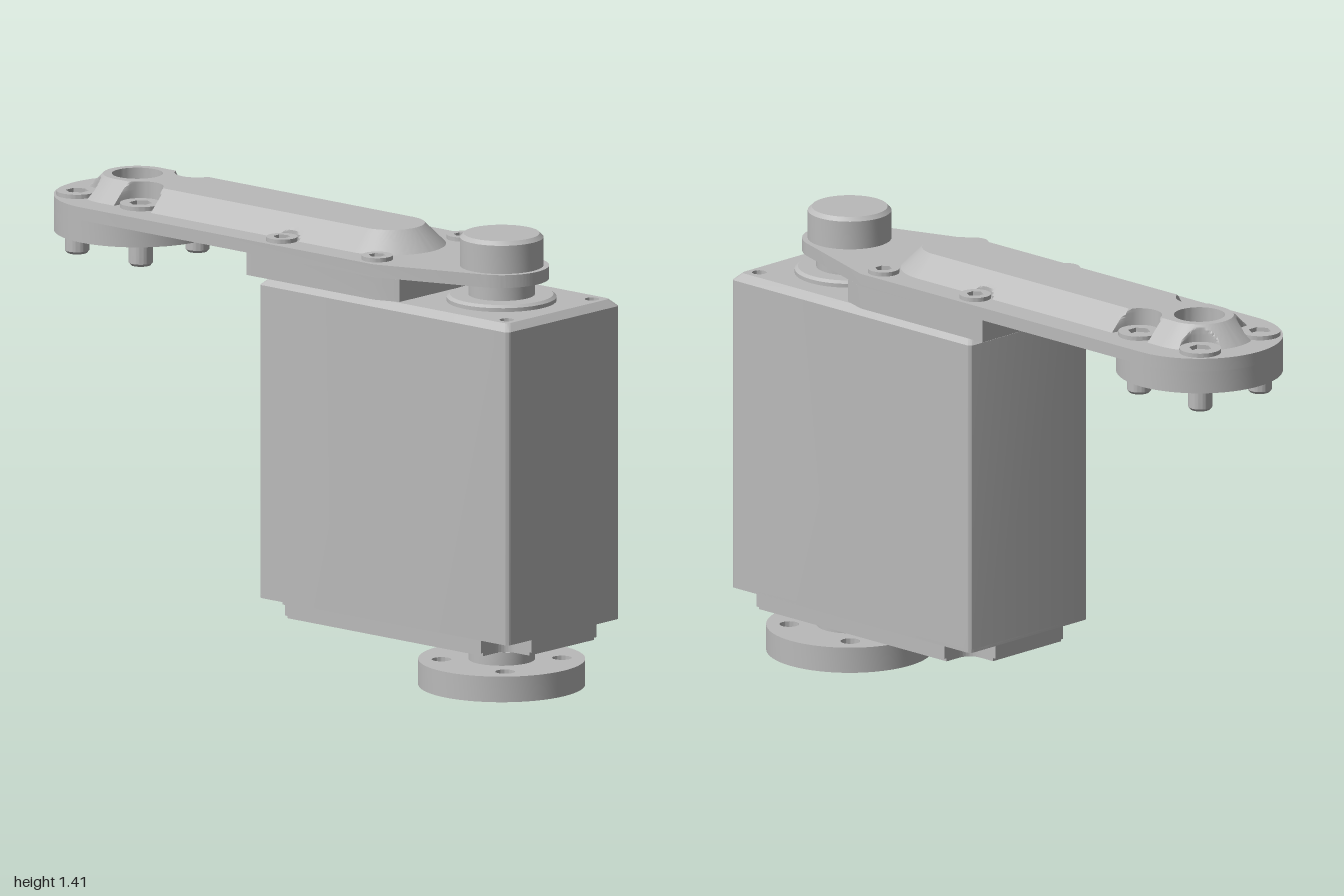
import * as THREE from 'three';
import { toCreasedNormals } from 'three/addons/utils/BufferGeometryUtils.js';

const grey = new THREE.MeshStandardMaterial({ color: 0xbababa, side: THREE.DoubleSide });
grey.name = 'plain grey';

const AXIS = 0.745; // distance of the shaft (front) and arm tip (back) from the centre
const BORE = 0.078;

export function createModel() {
  const model = new THREE.Group();
  model.name = 'servoWithArm';

  const add = (name, geometry, x = 0, y = 0, z = 0, parent = model) => {
    const mesh = new THREE.Mesh(geometry, grey);
    mesh.name = name;
    mesh.position.set(x, y, z);
    parent.add(mesh);
    return mesh;
  };

  const circle = (x, z, r) => new THREE.Path().absarc(x, z, r, 0, Math.PI * 2);
  const disc = (x, z, r) => new THREE.Shape().absarc(x, z, r, 0, Math.PI * 2);
  const hexagon = (r) => new THREE.Path(Array.from({ length: 6 }, (_, i) =>
    new THREE.Vector2(Math.cos(i * Math.PI / 3) * r, Math.sin(i * Math.PI / 3) * r)));

  // Plan outline (x, z) extruded downwards from a top height
  const slab = (shape, top, depth, holes = []) => {
    shape.holes.push(...holes);
    const g = new THREE.ExtrudeGeometry(shape, { depth, bevelEnabled: false, curveSegments: 32 });
    return toCreasedNormals(g.rotateX(Math.PI / 2).translate(0, top, 0), 0.5);
  };

  // Turned part around the y axis from [radius, height] pairs
  const turned = (points) => toCreasedNormals(
    new THREE.LatheGeometry(points.map(([r, y]) => new THREE.Vector2(r, y)), 48), 0.5);

  // Walls between stacked plan outlines, given as [height, points]
  const loft = (levels) => {
    const pos = [], index = [], n = levels[0][1].length;
    for (const [y, pts] of levels) for (const p of pts) pos.push(p.x, y, p.y);
    for (let k = 0; k < levels.length - 1; k++) {
      for (let i = 0; i < n; i++) {
        const a = k * n + i, b = k * n + (i + 1) % n;
        index.push(a, a + n, b, b, a + n, b + n);
      }
    }
    const g = new THREE.BufferGeometry();
    g.setAttribute('position', new THREE.Float32BufferAttribute(pos, 3));
    g.setIndex(index);
    return toCreasedNormals(g, 0.5);
  };

  // ---- Case ----
  const casePlan = (inset) => {
    const w = 0.258 - inset, f = 1 - inset, b = -0.02 + inset, r = 0.016;
    const s = new THREE.Shape();
    s.absarc(w - r, f - r, r, 0, Math.PI / 2);
    s.absarc(-w + r, f - r, r, Math.PI / 2, Math.PI);
    s.absarc(-w + r, b + r, r, Math.PI, Math.PI * 1.5);
    s.absarc(w - r, b + r, r, Math.PI * 1.5, Math.PI * 2);
    return s;
  };
  add('caseWalls', loft([[0.2, casePlan(0).getPoints(6)], [1.178, casePlan(0).getPoints(6)],
    [1.2, casePlan(0.022).getPoints(6)]]));

  const corners = [[0.195, 0.94], [-0.195, 0.94], [0.195, 0.04], [-0.195, 0.04]];
  const cornerHoles = () => corners.map(([x, z]) => circle(x, z, 0.022));
  add('caseTop', slab(casePlan(0.022), 1.2, 0.01, cornerHoles()));
  add('caseUnderside', slab(casePlan(0), 0.21, 0.01, cornerHoles()));
  for (const [x, z] of corners) {
    add('topScrewHole', turned([[0, -0.03], [0.022, -0.03], [0.022, 0]]), x, 1.2, z);
    add('bottomScrewHole', turned([[0, 0.03], [0.022, 0.03], [0.022, 0]]), x, 0.2, z);
  }

  // Bottom cover with a filleted notch at each corner
  const cover = (inset) => {
    const W = 0.258 - inset, H = 0.51 - inset, n = 0.11, f = 0.05, c = 0.49;
    const s = new THREE.Shape();
    const quad = [[1, 1], [-1, 1], [-1, -1], [1, -1]];
    quad.forEach(([sx, sz], i) => {
      const a = [[sx * W, c + sz * (0.51 - n)], [sx * (0.258 - n + f), c + sz * (0.51 - n)]];
      const b = [[sx * (0.258 - n), c + sz * (0.51 - n + f)], [sx * (0.258 - n), c + sz * H]];
      const [p, q, u, v] = i % 2 ? [b[1], b[0], a[1], a[0]] : [a[0], a[1], b[0], b[1]];
      if (i) s.lineTo(...p); else s.moveTo(...p);
      s.lineTo(...q);
      s.quadraticCurveTo(sx * (0.258 - n), c + sz * (0.51 - n), ...u);
      s.lineTo(...v);
    });
    s.closePath();
    return s;
  };
  const coverHoles = [circle(0, 0.05, 0.018)];
  for (const x of [-0.195, 0.195]) for (const z of [0.25, 0.46, 0.65]) coverHoles.push(circle(x, z, 0.018));
  add('bottomCover', slab(cover(0), 0.2, 0.04));
  add('bottomCoverFace', slab(cover(0.01), 0.16, 0.01, coverHoles));

  // ---- Output shaft and lower horn ----
  add('lowerShaft', turned([[0.165, 0.15], [0.165, 0.14], [0.155, 0.134], [0.078, 0.134],
    [0.078, 0.12], [0.102, 0.12], [0.102, 0.08], [0, 0.08]]), 0, 0, AXIS);
  const boltSpots = [[0.13, 0.13], [-0.13, 0.13], [-0.13, -0.13], [0.13, -0.13]];
  add('lowerHorn', slab(disc(0, 0, 0.255), 0.08, 0.08,
    [circle(0, 0, 0.075), ...boltSpots.map(([x, z]) => circle(x, z, 0.03))]), 0, 0, AXIS);
  add('hornScrew', slab(disc(0, 0, 0.065), 0.06, 0.055, [hexagon(0.028)]), 0, 0, AXIS);

  // ---- Upper bearing and cap ----
  add('upperBearing', turned([[0.168, 1.2], [0.168, 1.212], [0.158, 1.22], [0.102, 1.22],
    [0.102, 1.275]]), 0, 0, AXIS);
  add('bearingCap', turned([[0, 1.31], [0.128, 1.31], [0.128, 1.398], [0.116, 1.41], [0, 1.41]]), 0, 0, AXIS);

  // ---- Arm ----
  const arm = new THREE.Group();
  arm.name = 'arm';
  model.add(arm);
  const plate = new THREE.Shape();
  plate.absarc(0, -AXIS, 0.255, Math.PI, Math.PI * 2);
  plate.lineTo(0.255, 0.45);
  plate.absarc(0, AXIS, 0.145, 0.33, Math.PI - 0.33);
  plate.lineTo(-0.255, 0.45);
  add('armPlate', slab(plate, 1.31, 0.04, [circle(0, -AXIS, BORE)]), 0, 0, 0, arm);

  const block = new THREE.Shape([[0.255, -0.07], [0.255, 0.45], [0.228, 0.53], [-0.228, 0.53],
    [-0.255, 0.45], [-0.255, -0.07]].map(([x, z]) => new THREE.Vector2(x, z)));
  add('mountingBlock', slab(block, 1.27, 0.07), 0, 0, 0, arm);
  add('tipDisc', slab(disc(0, -AXIS, 0.255), 1.27, 0.07, [circle(0, -AXIS, BORE)]), 0, 0, 0, arm);

  // Screw positions: [x, z, pocket radius]
  const tipScrews = boltSpots.map(([x, z]) => [x, z - AXIS, 0.07]);
  const sideScrews = [[0.195, 0.02, 0.052], [-0.195, 0.02, 0.052], [0.195, 0.41, 0.052], [-0.195, 0.41, 0.052]];
  const pockets = [...tipScrews, ...sideScrews];

  // Ridge outline: a stadium with the screw pockets cut away
  const ridgePlan = (radius) => {
    const pts = [], z0 = -AXIS, z1 = 0.29, arc = 64, run = 130;
    const cast = (az, angle) => {
      const dx = Math.cos(angle), dz = Math.sin(angle);
      let r = radius;
      for (const [cx, cz, R] of pockets) {
        const t = dx * cx + dz * (cz - az);
        const h = R * R - (cx * cx + (cz - az) ** 2 - t * t);
        if (h > 0 && t > 0) r = Math.min(r, t - Math.sqrt(h));
      }
      pts.push(new THREE.Vector2(dx * r, az + dz * r));
    };
    for (let i = 0; i < arc; i++) cast(z0, Math.PI * (1 + i / arc));
    for (let i = 0; i < run; i++) cast(z0 + (z1 - z0) * i / run, 0);
    for (let i = 0; i < arc; i++) cast(z1, Math.PI * i / arc);
    for (let i = 0; i < run; i++) cast(z1 + (z0 - z1) * i / run, Math.PI);
    return pts;
  };
  const ridgeLevels = Array.from({ length: 9 }, (_, k) =>
    [1.31 + 0.065 * k / 8, ridgePlan(0.17 - 0.065 * k / 8)]);
  add('ridgeSides', loft(ridgeLevels), 0, 0, 0, arm);
  add('ridgeTop', slab(new THREE.Shape(ridgePlan(0.105)), 1.375, 0.004, [circle(0, -AXIS, BORE)]), 0, 0, 0, arm);
  add('tipBore', turned([[BORE, 1.3], [BORE, 1.375]]), 0, 0, -AXIS, arm);

  // Socket screws
  const screw = (name, x, z, r) => {
    const g = new THREE.Group();
    g.name = name;
    g.position.set(x, 1.31, z);
    arm.add(g);
    add('screwHead', slab(disc(0, 0, r), 0.014, 0.013, [hexagon(r * 0.55)]), 0, 0, 0, g);
    return g;
  };
  for (const [x, z, r] of tipScrews) {
    const g = screw('tipScrew', x, z, r - 0.006);
    add('screwShank', turned([[0.037, -0.11], [0.037, -0.172], [0.03, -0.18], [0, -0.18]]), 0, 0, 0, g);
  }
  for (const [x, z, r] of sideScrews) screw('sideScrew', x, z, r - 0.004);

  return model;
}
